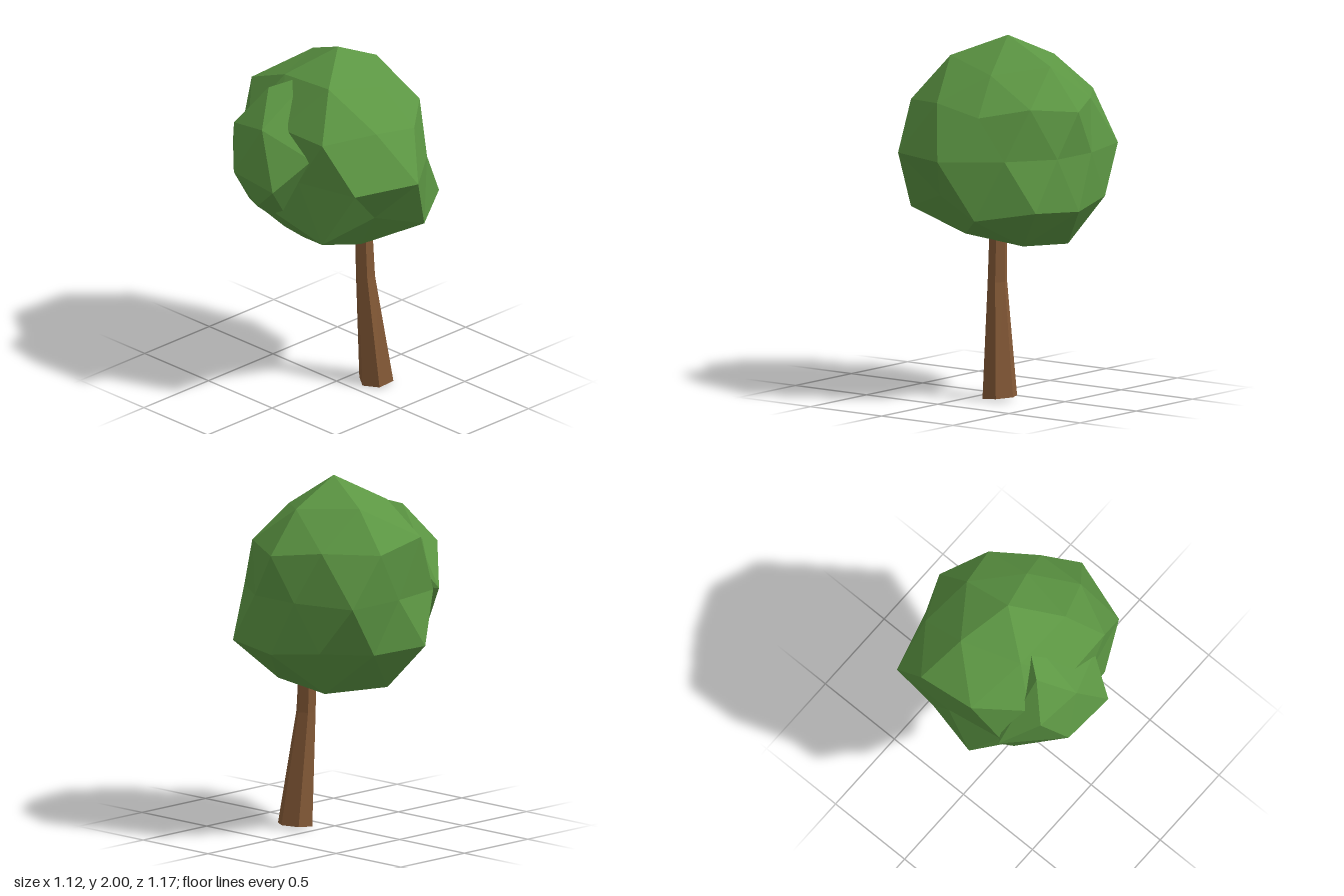
import * as THREE from 'three';
import { ConvexGeometry } from 'three/addons/geometries/ConvexGeometry.js';

const CENTER = new THREE.Vector3(0.06, 1.37, -0.05);
const RADIUS = 0.63;

// Geometry from a list of triangles, each three Vector3 corners
function fromTriangles(tris) {
  const g = new THREE.BufferGeometry().setFromPoints(tris.flat());
  g.computeVertexNormals();
  return g;
}

// Crown: once-divided icosahedron whose corners are pushed in or out, ring by ring
function crownGeometry() {
  const point = (height, deg, f) => {
    const a = THREE.MathUtils.degToRad(deg), r = Math.sqrt(1 - height * height);
    return new THREE.Vector3(r * Math.cos(a), height, -r * Math.sin(a))
      .multiplyScalar(RADIUS * f).add(CENTER);
  };
  const ring = (height, start, factors) => {
    const pts = factors.map((f, i) => point(height, start + i * 360 / factors.length, f));
    return i => pts[i % pts.length];
  };
  const top = point(1, 0, 1), bottom = point(-1, 0, 0.85);
  const P = ring(0.851, 0, [0.9, 0.925, 0.9, 0.96, 0.83]);
  const U = ring(0.447, 0, [0.88, 1, 0.88, 0.95, 0.84]);
  const M = ring(0.526, 36, [0.85, 1, 0.82, 0.88, 0.85]);
  const E = ring(0, 18, [0.78, 1, 0.8, 0.88, 0.8, 0.76, 1, 1, 0.79, 0.78]);
  const L = ring(-0.447, 36, [0.95, 1, 0.84, 0.8, 1]);
  const N = ring(-0.526, 0, [0.93, 0.9, 0.87, 1, 1]);
  const Q = ring(-0.851, 36, [1, 1, 0.82, 0.85, 0.94]);

  const tris = [];
  const divided = (a, b, c, ab, bc, ca) =>
    tris.push([a, ab, ca], [ab, b, bc], [ca, bc, c], [ab, bc, ca]);
  for (let k = 0; k < 5; k++) {
    const n = k + 1;
    divided(top, U(k), U(n), P(k), M(k), P(n));
    divided(U(k), L(k), U(n), E(2 * k), E(2 * k + 1), M(k));
    divided(U(n), L(k), L(n), E(2 * k + 1), N(n), E(2 * k + 2));
    divided(bottom, L(n), L(k), Q(n), N(n), Q(k));
  }
  return fromTriangles(tris);
}

// Trunk: hexagonal sections [x, y, z, radius] joined and capped
function trunkGeometry() {
  const sections = [[0.16, 0.01, 0.15, 0.1], [0.113, 0.65, 0.112, 0.056], [0.11, 1.0, 0.098, 0.05]];
  const loops = sections.map(([x, y, z, r]) => Array.from({ length: 6 }, (_, i) => {
    const a = i * Math.PI / 3 - 0.08;
    // the foot is cut slightly aslant
    const tilt = y < 0.1 ? 0.01 * Math.cos(a) : 0;
    return new THREE.Vector3(x + r * Math.cos(a), y + tilt, z - r * Math.sin(a));
  }));
  const tris = [];
  for (let s = 0; s < 2; s++) {
    for (let i = 0; i < 6; i++) {
      const j = (i + 1) % 6, lo = loops[s], hi = loops[s + 1];
      tris.push([lo[i], lo[j], hi[j]], [lo[i], hi[j], hi[i]]);
    }
  }
  for (let i = 1; i < 5; i++) {
    tris.push([loops[0][0], loops[0][i + 1], loops[0][i]]);
    tris.push([loops[2][0], loops[2][i], loops[2][i + 1]]);
  }
  return fromTriangles(tris);
}

export function createModel() {
  const leaf = new THREE.MeshStandardMaterial({ color: 0x5c9643 });
  leaf.name = 'leafGreen';
  const bark = new THREE.MeshStandardMaterial({ color: 0x855a37 });
  bark.name = 'barkBrown';

  const tree = new THREE.Group();
  tree.name = 'tree';
  const add = (name, geometry, material) => {
    const mesh = new THREE.Mesh(geometry, material);
    mesh.name = name;
    tree.add(mesh);
  };

  add('trunk', trunkGeometry(), bark);
  add('crown', crownGeometry(), leaf);

  // Second clump of leaves pushing out of the crown's side
  const clump = [
    [-0.565, 1.35, 0.07], [-0.48, 1.65, -0.1], [-0.55, 1.37, -0.25], [-0.44, 1.6, -0.36],
    [-0.3, 1.81, -0.23], [-0.28, 1.38, -0.53], [-0.515, 1.2, -0.1], [-0.37, 1.52, 0.18],
    [-0.39, 1.13, -0.2], [-0.22, 0.95, -0.1], [-0.28, 1.07, -0.4], [-0.1, 1.88, -0.08],
    [0.0, 1.4, -0.1],
  ].map(p => new THREE.Vector3(...p));
  add('sideClump', new ConvexGeometry(clump), leaf);

  return tree;
}
